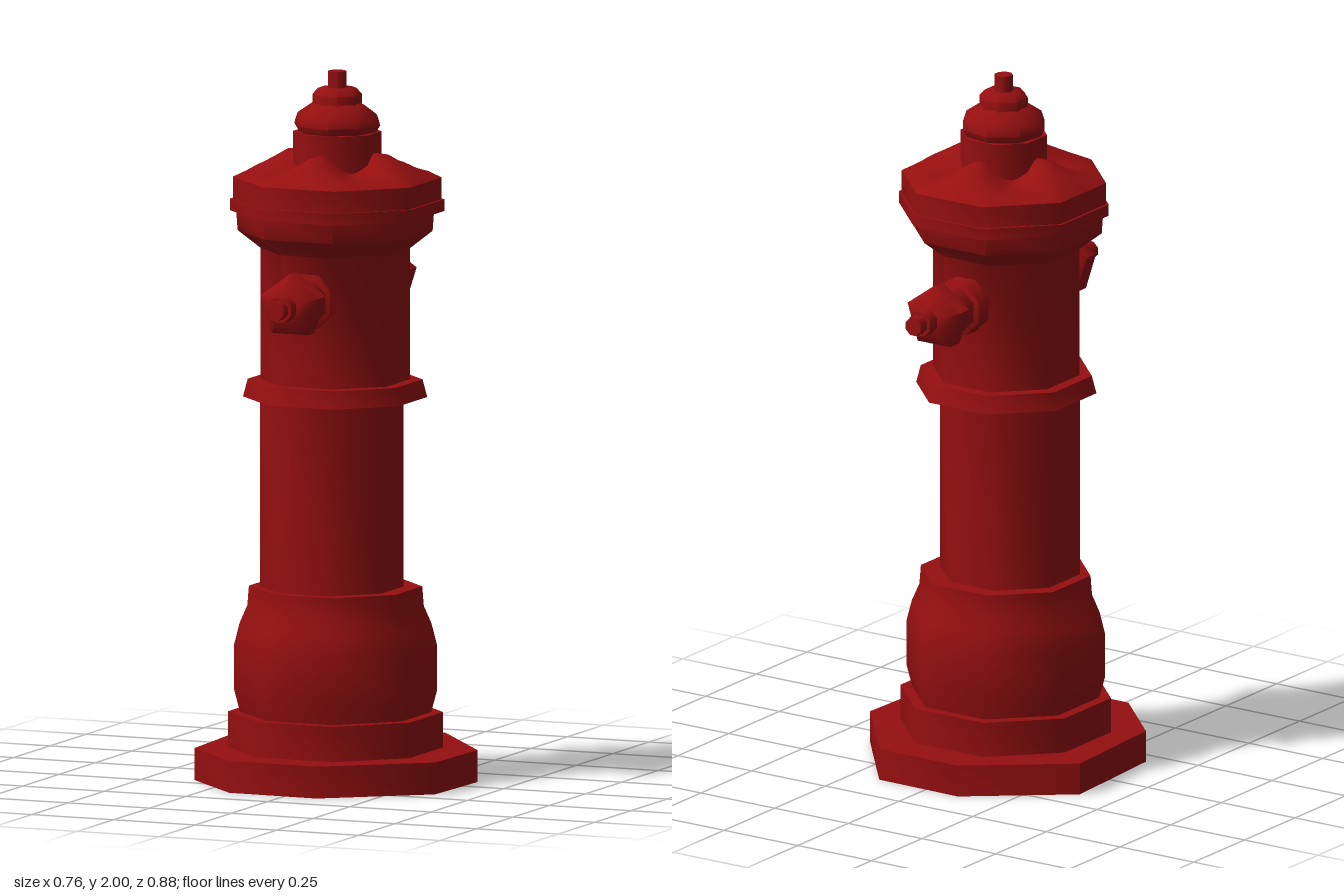
import * as THREE from 'three';
import { toCreasedNormals } from 'three/addons/utils/BufferGeometryUtils.js';

const red = new THREE.MeshStandardMaterial({ color: 0x960f10 });
const CREASE = 0.9;

function mesh(name, geometry) {
  const m = new THREE.Mesh(geometry, red);
  m.name = name;
  return m;
}

// Faceted turned part. Profile is [radius, height]; radius runs to the flats.
function turned(name, profile, sides = 8, turn = Math.PI / 8) {
  const k = sides === 8 ? 1 / Math.cos(Math.PI / 8) : 1;
  const pts = profile.map(([r, y]) => new THREE.Vector2(r * k, y));
  const g = new THREE.LatheGeometry(pts, sides).rotateY(turn);
  return mesh(name, toCreasedNormals(g, CREASE));
}

// Uneven octagonal foot plate
function footPlate() {
  const corners = [[-0.11, -0.37], [0.16, -0.365], [0.38, -0.09], [0.37, 0.18],
    [0.1, 0.39], [-0.17, 0.385], [-0.36, 0.195], [-0.38, -0.16]];
  const shape = new THREE.Shape(corners.map(([x, z]) => new THREE.Vector2(x, -z)));
  const g = new THREE.ExtrudeGeometry(shape, { depth: 0.09, bevelEnabled: false });
  return mesh('footPlate', toCreasedNormals(g.rotateX(-Math.PI / 2), CREASE));
}

// Cap roof: octagonal rim rising to the neck, with four ridges on the axes
function capRoof() {
  const N = 48;
  // [radius, ridge height, valley height]
  const rings = [[0.27, 1.7, 1.7], [0.235, 1.725, 1.712], [0.19, 1.75, 1.715],
    [0.15, 1.773, 1.716], [0.12, 1.775, 1.722], [0.08, 1.775, 1.73]];
  const pos = [], index = [];
  rings.forEach(([r, ridge, valley], j) => {
    for (let i = 0; i < N; i++) {
      const a = (i / N) * Math.PI * 2;
      const q = Math.PI / 4;
      const off = a - Math.round(a / q) * q;
      const rad = r / Math.cos(off);
      const lift = Math.pow(Math.abs(Math.cos(2 * a)), 1.5) * (Math.cos(4 * a) * 0.25 + 0.75);
      pos.push(rad * Math.sin(a), valley + (ridge - valley) * lift, rad * Math.cos(a));
      if (j < rings.length - 1) {
        const n = (i + 1) % N, b = j * N, t = b + N;
        index.push(b + i, b + n, t + n, b + i, t + n, t + i);
      }
    }
  });
  const g = new THREE.BufferGeometry();
  g.setAttribute('position', new THREE.Float32BufferAttribute(pos, 3));
  g.setIndex(index);
  g.computeVertexNormals();
  return mesh('capRoof', g);
}

// Side outlet, built upright and laid along +z
function outlet(name) {
  const group = new THREE.Group();
  group.name = name;
  group.add(
    turned('outletCollar', [[0.075, 0.1], [0.075, 0.225], [0.062, 0.23], [0.062, 0.3]]),
    turned('outletCap', [[0, 0.275], [0.07, 0.275], [0.094, 0.29], [0.094, 0.335], [0.05, 0.37], [0, 0.37]], 5, Math.PI),
    turned('outletStub', [[0.034, 0.35], [0.034, 0.405], [0, 0.405]]),
    turned('outletTip', [[0.025, 0.39], [0.025, 0.438], [0, 0.438]])
  );
  group.rotation.x = Math.PI / 2;
  return group;
}

export function createModel() {
  const model = new THREE.Group();
  model.name = 'fireHydrant';
  model.add(footPlate());

  // Lower barrel
  const lower = new THREE.Group();
  lower.name = 'lowerBarrel';
  lower.position.set(-0.008, 0, 0.015);
  lower.add(
    turned('baseBlock', [[0, 0.08], [0.278, 0.08], [0.278, 0.19], [0, 0.19]]),
    turned('baseBulge', [[0.245, 0.18], [0.262, 0.25], [0.262, 0.38], [0.248, 0.44],
      [0.228, 0.49], [0.224, 0.545], [0, 0.545]])
  );
  const barrel = turned('barrel', [[0.185, 0.53], [0.185, 1.1]]);
  barrel.position.set(-0.007, 0, 0.01);
  lower.add(barrel);
  model.add(lower);

  // Upper barrel with its flange and flared top
  const upper = new THREE.Group();
  upper.name = 'upperBarrel';
  upper.position.set(-0.008, 0, 0.018);
  upper.add(
    turned('waistFlange', [[0, 1.08], [0.238, 1.08], [0.226, 1.13], [0, 1.13]]),
    turned('upperBody', [[0.193, 1.12], [0.193, 1.5], [0.252, 1.55], [0.256, 1.61]])
  );
  model.add(upper);

  // Cap, neck and finial
  const cap = new THREE.Group();
  cap.name = 'cap';
  cap.position.set(-0.005, 0, 0.01);
  cap.add(
    turned('capRing', [[0, 1.605], [0.277, 1.605], [0.277, 1.638], [0, 1.638]]),
    turned('capSide', [[0.27, 1.63], [0.27, 1.7]]),
    capRoof(),
    turned('neck', [[0.114, 1.69], [0.114, 1.83], [0, 1.83]]),
    turned('finialBulb', [[0, 1.822], [0.1, 1.825], [0.114, 1.85], [0.105, 1.88], [0.065, 1.91], [0, 1.915]], 8, 0.2),
    turned('finialRing', [[0.064, 1.9], [0.064, 1.935], [0.05, 1.952], [0, 1.955]]),
    turned('finialNut', [[0.024, 1.94], [0.024, 2], [0, 2]])
  );
  model.add(cap);

  // Outlets front and back
  for (const [name, turn] of [['frontOutlet', 0], ['backOutlet', Math.PI]]) {
    const holder = new THREE.Group();
    holder.name = name + 'Mount';
    holder.position.set(-0.005, 1.375, 0);
    holder.rotation.y = turn;
    holder.add(outlet(name));
    model.add(holder);
  }
  return model;
}
